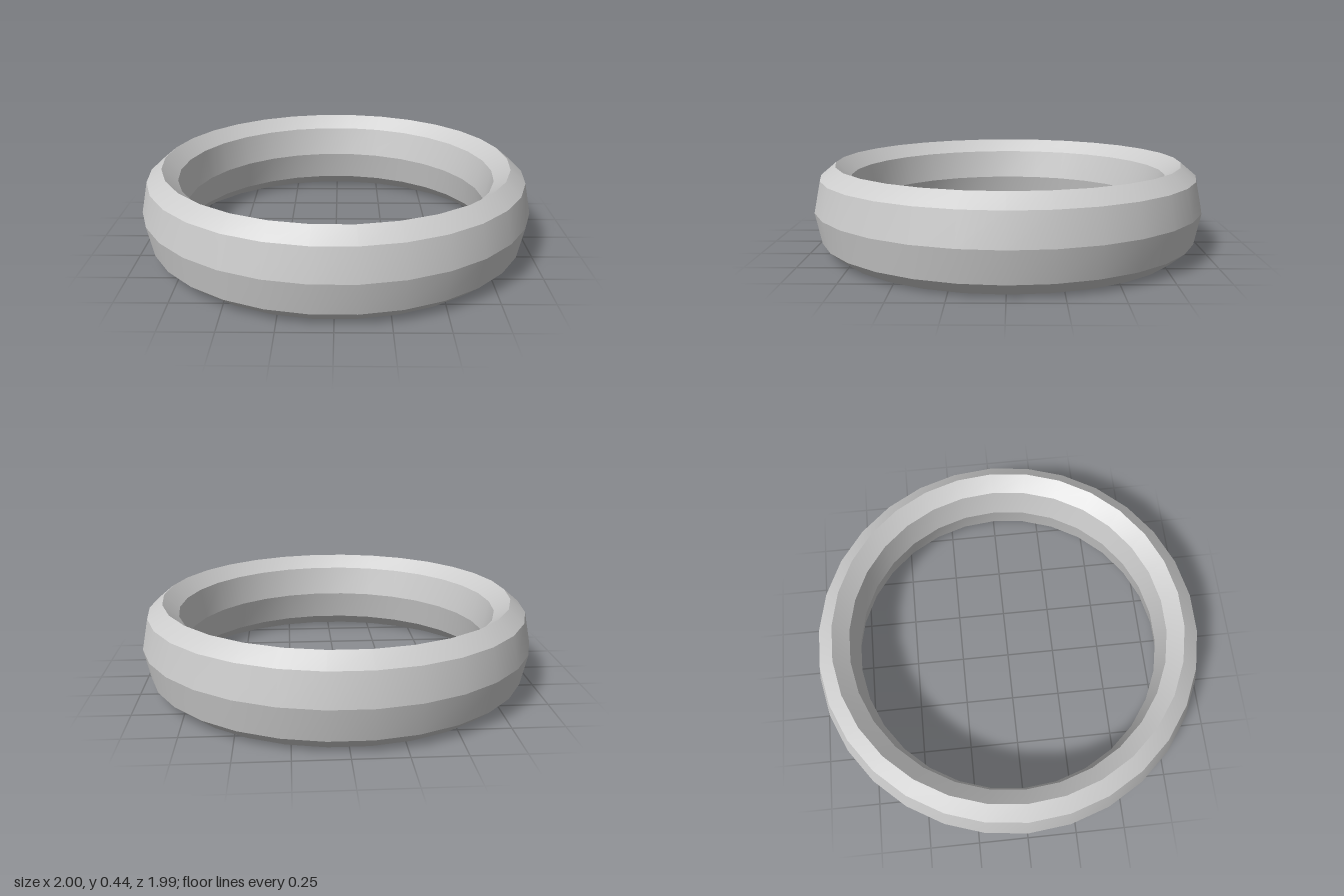
import * as THREE from 'three';
import { toCreasedNormals } from 'three/addons/utils/BufferGeometryUtils.js';

export function createModel() {
  const group = new THREE.Group();
  group.name = 'ring';

  const radius = 0.89, thickness = 0.11, height = 0.445;

  // Band: low-poly torus with an eight-sided section, stretched upwards
  let geometry = new THREE.TorusGeometry(radius, thickness, 8, 30);
  geometry.rotateX(Math.PI / 2);
  geometry.scale(1, height / (2 * thickness), 1);
  geometry.translate(0, height / 2, 0);

  // Smooth around the ring, sharp between the bands of the section
  geometry = toCreasedNormals(geometry, THREE.MathUtils.degToRad(18));

  const band = new THREE.Mesh(geometry, new THREE.MeshStandardMaterial({ color: 0xcccccc }));
  band.name = 'band';
  group.add(band);
  return group;
}
